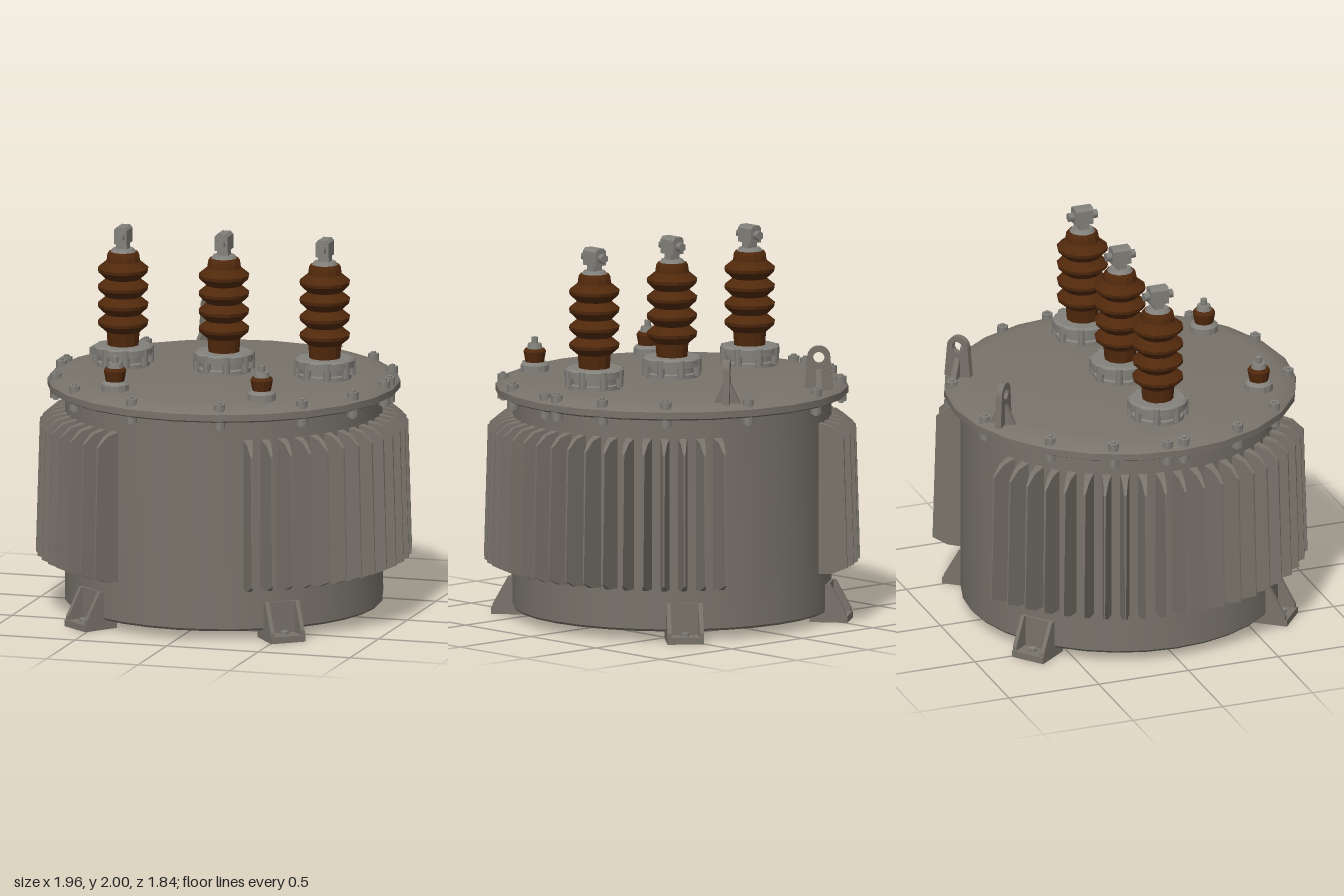
import * as THREE from 'three';
import { toCreasedNormals } from 'three/addons/utils/BufferGeometryUtils.js';

const paint = new THREE.MeshStandardMaterial({ color: 0x78736a });
paint.name = 'tank grey';
const metal = new THREE.MeshStandardMaterial({ color: 0x83817b });
metal.name = 'fitting grey';
const ceramic = new THREE.MeshStandardMaterial({ color: 0x51290c });
ceramic.name = 'brown porcelain';

function add(parent, name, geometry, material, x = 0, y = 0, z = 0) {
  const mesh = new THREE.Mesh(geometry, material);
  mesh.name = name;
  mesh.position.set(x, y, z);
  parent.add(mesh);
  return mesh;
}

function group(parent, name, x = 0, y = 0, z = 0) {
  const g = new THREE.Group();
  g.name = name;
  g.position.set(x, y, z);
  parent.add(g);
  return g;
}

// Turned solid from [radius, height] pairs, bottom to top
function turned(points, sides, crease = 0.5) {
  const profile = points.map(([r, y]) => new THREE.Vector2(r, y));
  return toCreasedNormals(new THREE.LatheGeometry(profile, sides), crease);
}

// Plate cut from a shape, centred on its thickness
function plate(shape, depth) {
  const g = new THREE.ExtrudeGeometry(shape, { depth, bevelEnabled: false, curveSegments: 8 });
  return g.translate(0, 0, -depth / 2);
}

function polygon(points) {
  return new THREE.Shape(points.map(([x, y]) => new THREE.Vector2(x, y)));
}

// Radial cooling fin: a thin wedge, thick at the tank and sharp at the tip
function finGeometry() {
  const g = plate(polygon([[0.81, 0.27], [0.9, 0.275], [0.98, 0.31], [0.96, 1.0], [0.9, 1.05], [0.81, 1.07]]), 1);
  const p = g.attributes.position;
  for (let i = 0; i < p.count; i++) {
    const t = (p.getX(i) - 0.81) / 0.17;
    p.setZ(i, p.getZ(i) * (0.052 - 0.046 * t));
  }
  g.computeVertexNormals();
  return g;
}

function addFeet(model) {
  const gusset = plate(polygon([[0.74, 0.03], [0.93, 0.03], [0.93, 0.055], [0.85, 0.2], [0.74, 0.2]]), 0.022);
  for (const sx of [-1, 1]) for (const sz of [-1, 1]) {
    const foot = group(model, 'foot');
    foot.rotation.y = -Math.atan2(sz * 0.735, sx * 0.58);
    add(foot, 'footBase', new THREE.BoxGeometry(0.2, 0.035, 0.19), paint, 0.84, 0.0175, 0);
    add(foot, 'footBack', new THREE.BoxGeometry(0.08, 0.17, 0.17), paint, 0.8, 0.115, 0);
    for (const s of [-1, 1]) add(foot, 'footGusset', gusset, paint, 0, 0, s * 0.084);
    add(foot, 'footBolt', new THREE.CylinderGeometry(0.022, 0.022, 0.02, 6), metal, 0.885, 0.043, 0);
  }
}

function addLidBolts(model) {
  const places = [[0.88, 0.02], [0.88, -0.07]];
  for (const s of [-1, 1]) places.push([0.81, s * 0.345], [0.62, s * 0.625], [0.24, s * 0.845]);
  const head = new THREE.CylinderGeometry(0.03, 0.03, 0.04, 6);
  const shank = new THREE.CylinderGeometry(0.014, 0.014, 0.15, 6);
  for (const [x, z] of places) for (const s of [-1, 1]) {
    const bolt = group(model, 'lidBolt', s * x, 0, z);
    add(bolt, 'boltHead', head, metal, 0, 1.25, 0);
    add(bolt, 'boltNut', head, metal, 0, 1.16, 0);
    add(bolt, 'boltShank', shank, metal, 0, 1.205, 0);
  }
}

function addBushing(model, x) {
  const b = group(model, 'highVoltageBushing', x, 0, 0);
  add(b, 'bushingFlange', turned([[0, 1.25], [0.14, 1.25], [0.14, 1.285], [0.125, 1.29], [0.125, 1.32],
    [0.155, 1.325], [0.155, 1.36], [0.14, 1.37], [0, 1.37]], 16), metal);

  // Ring of clamping bolts
  for (let i = 0; i < 8; i++) {
    const a = (i + 0.5) * Math.PI / 4;
    add(b, 'flangeBolt', new THREE.CylinderGeometry(0.02, 0.02, 0.09, 6), metal,
      Math.cos(a) * 0.142, 1.32, Math.sin(a) * 0.142);
  }

  // Porcelain column with four sheds
  const profile = [[0, 1.36], [0.082, 1.36], [0.088, 1.44]];
  for (let i = 0; i < 4; i++) {
    const y = 1.49 + i * 0.094;
    profile.push([0.132, y - 0.012], [0.135, y + 0.005], [0.09, y + 0.042]);
  }
  profile.push([0.085, 1.85], [0.075, 1.865], [0, 1.865]);
  add(b, 'porcelainSheds', turned(profile, 12), ceramic);

  // Terminal clamp
  add(b, 'terminalCap', new THREE.CylinderGeometry(0.055, 0.07, 0.02, 12), metal, 0, 1.872, 0);
  add(b, 'terminalStem', new THREE.BoxGeometry(0.06, 0.06, 0.05), metal, 0, 1.9, 0);
  const clamp = polygon([[-0.035, 1.91], [0.035, 1.91], [0.035, 1.985], [0.022, 2], [-0.022, 2], [-0.035, 1.985]]);
  add(b, 'terminalClamp', plate(clamp, 0.1), metal);
  const bolt = add(b, 'terminalBolt', new THREE.CylinderGeometry(0.025, 0.025, 0.16, 6), metal, 0, 1.95, 0);
  bolt.rotation.x = Math.PI / 2;
}

function addSmallBushing(model, x) {
  const b = group(model, 'lowVoltageBushing', x, 0, 0.62);
  add(b, 'smallFlange', turned([[0, 1.25], [0.075, 1.25], [0.075, 1.295], [0.06, 1.31], [0, 1.31]], 12), metal);
  add(b, 'smallPorcelain', turned([[0.048, 1.3], [0.06, 1.365], [0.05, 1.38], [0, 1.38]], 12), ceramic);
  add(b, 'smallCap', new THREE.CylinderGeometry(0.035, 0.042, 0.03, 10), metal, 0, 1.392, 0);
  add(b, 'smallPin', new THREE.CylinderGeometry(0.018, 0.018, 0.06, 8), metal, 0, 1.41, 0);
}

function addLiftingLug(model, side) {
  const lug = group(model, 'liftingLug', side * 0.325, 0, -0.775);
  lug.rotation.y = side * 0.75;
  const shape = new THREE.Shape();
  shape.moveTo(-0.075, 1.25);
  shape.lineTo(0.075, 1.25);
  shape.lineTo(0.06, 1.42);
  shape.absarc(0, 1.42, 0.06, 0, Math.PI, false);
  const hole = new THREE.Path();
  hole.absarc(0, 1.42, 0.03, 0, Math.PI * 2, true);
  shape.holes.push(hole);
  add(lug, 'lugPlate', plate(shape, 0.034), paint);
  // Cross stiffener under the eye
  const rib = polygon([[-0.07, 1.25], [0.07, 1.25], [0.018, 1.36], [-0.018, 1.36]]);
  add(lug, 'lugRib', plate(rib, 0.03), paint).rotation.y = Math.PI / 2;
}

export function createModel() {
  const model = new THREE.Group();
  model.name = 'transformer';

  add(model, 'tank', turned([[0, 0.05], [0.82, 0.05], [0.83, 0.062], [0.83, 1.19]], 32, 0.6), paint);
  add(model, 'lid', turned([[0.8, 1.175], [0.9, 1.175], [0.92, 1.185], [0.92, 1.22], [0.9, 1.235],
    [0.84, 1.255], [0.78, 1.262], [0, 1.265]], 24, 0.6), paint);

  // Two banks of fins, one on each side
  const fin = finGeometry();
  for (const start of [0, Math.PI]) {
    const bank = group(model, 'finBank');
    bank.rotation.y = start;
    for (let i = -10; i <= 10; i++) add(bank, 'coolingFin', fin, paint).rotation.y = i * 6.4 * Math.PI / 180;
  }

  addFeet(model);
  addLidBolts(model);
  for (const x of [-0.55, 0, 0.55]) addBushing(model, x);
  for (const side of [-1, 1]) {
    addSmallBushing(model, side * 0.4);
    addLiftingLug(model, side);
  }
  return model;
}
